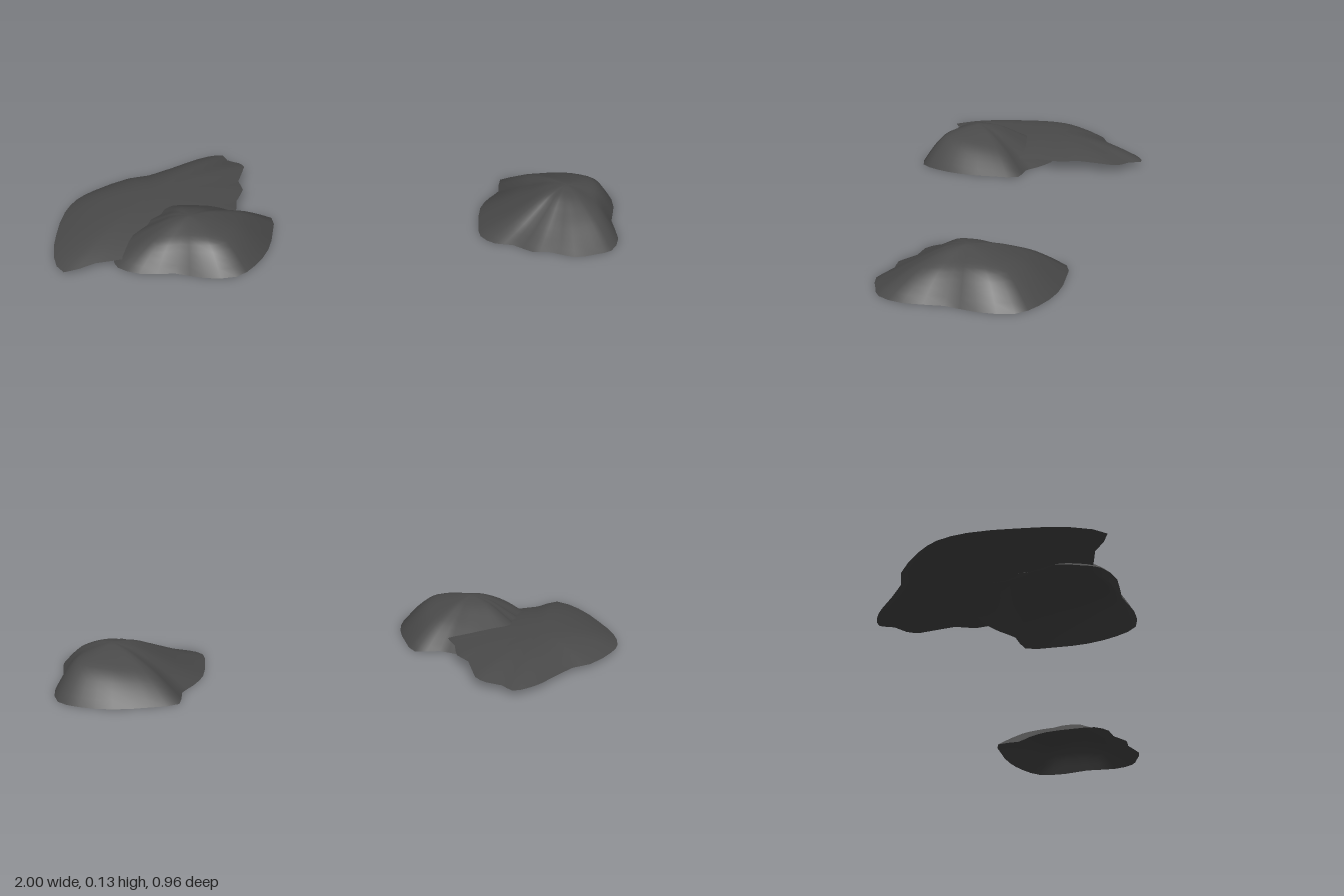
import * as THREE from 'three';

const material = new THREE.MeshStandardMaterial({ color: 0x4a4a4a, side: THREE.DoubleSide });

// Open shell: rings shrink from a closed rim [x, z, y?] to the peak, height(t, rimPoint) gives y
function shell(name, rim, peak, height) {
  const curve = new THREE.CatmullRomCurve3(
    rim.map(([x, z, y = 0]) => new THREE.Vector3(x, y, z)), true, 'centripetal');
  const around = rim.length * 2, rings = 12;
  const edge = Array.from({ length: around }, (_, i) => curve.getPoint(i / around));
  const pos = [...peak], index = [];
  for (let r = 1; r <= rings; r++) {
    const t = r / rings;
    for (const p of edge) {
      pos.push(peak[0] + (p.x - peak[0]) * t, height(t, p), peak[2] + (p.z - peak[2]) * t);
    }
  }
  for (let i = 0; i < around; i++) {
    const j = (i + 1) % around;
    index.push(0, 1 + j, 1 + i);
    for (let r = 0; r < rings - 1; r++) {
      const a = 1 + r * around, b = a + around;
      index.push(a + i, a + j, b + i, a + j, b + j, b + i);
    }
  }
  const geometry = new THREE.BufferGeometry();
  geometry.setAttribute('position', new THREE.Float32BufferAttribute(pos, 3));
  geometry.setIndex(index);
  geometry.computeVertexNormals();
  const mesh = new THREE.Mesh(geometry, material);
  mesh.name = name;
  return mesh;
}

// Smoothly interpolated height profile through [t, y] points
function profile(points) {
  const curve = new THREE.SplineCurve(points.map(([t, y]) => new THREE.Vector2(t, y)));
  const samples = curve.getPoints(120);
  return (t) => {
    const k = samples.findIndex((p) => p.x >= t - 1e-6);
    if (k <= 0) return samples[k < 0 ? samples.length - 1 : 0].y;
    const a = samples[k - 1], b = samples[k];
    return a.y + (b.y - a.y) * (t - a.x) / (b.x - a.x);
  };
}

export function createModel() {
  const group = new THREE.Group();

  // Rounded mound: bulging on its back left, sloping gently on the opposite side
  const moundRim = [
    [0.556, -0.45], [0.65, -0.476], [0.77, -0.487], [0.88, -0.465], [0.957, -0.42],
    [0.984, -0.315], [0.975, -0.21], [0.997, -0.09], [0.973, -0.005], [0.92, 0.03],
    [0.845, 0.062], [0.754, 0.043], [0.7, 0.053], [0.63, 0.02], [0.567, 0.02],
    [0.513, -0.02], [0.5, -0.1], [0.497, -0.22], [0.524, -0.3], [0.556, -0.36],
  ];
  const peak = [0.8, 0.131, -0.22];
  const steep = profile([[0, 0.131], [0.25, 0.121], [0.6, 0.099], [0.8, 0.06], [1, 0]]);
  const gentle = profile([[0, 0.131], [0.25, 0.115], [0.5, 0.075], [0.75, 0.034], [1, 0]]);
  const mound = shell('rightMound', moundRim, peak, (t, p) => {
    const angle = Math.atan2(p.z - peak[2], p.x - peak[0]);
    const w = 0.5 + 0.5 * Math.cos(angle + Math.PI / 4);
    return w * steep(t) + (1 - w) * gentle(t);
  });
  mound.name = 'leftMound';

  // Same mound, turned a quarter
  const turned = mound.clone();
  turned.name = 'rightMound';
  turned.rotation.y = -Math.PI / 2;
  turned.position.set(-0.7, 0, -0.57);

  // Broad low sheet partly tucked under the turned mound
  const sheetRim = [
    [-0.54, -0.42, 0.02], [-0.51, -0.38, 0.022], [-0.46, -0.36, 0.025], [-0.428, -0.325, 0.03],
    [-0.42, -0.2, 0.035], [-0.387, -0.14, 0.035], [-0.39, -0.05, 0.035], [-0.37, 0.05, 0.035],
    [-0.44, 0.18, 0.035], [-0.56, 0.27, 0.03], [-0.65, 0.36, 0.02], [-0.77, 0.41, 0.014],
    [-0.86, 0.478, 0.01], [-0.93, 0.39, 0.01], [-0.975, 0.25, 0.01], [-1, 0.1, 0.012],
    [-0.99, 0, 0.012], [-0.95, -0.075, 0.012], [-0.85, -0.185, 0.014], [-0.78, -0.22, 0.015],
    [-0.65, -0.355, 0.018], [-0.595, -0.4, 0.02],
  ];
  const sheet = shell('lowSheet', sheetRim, [-0.7, 0.067, 0],
    (t, p) => p.y + (0.067 - p.y) * (1 - Math.pow(t, 2.6)));

  group.add(mound, turned, sheet);
  return group;
}
